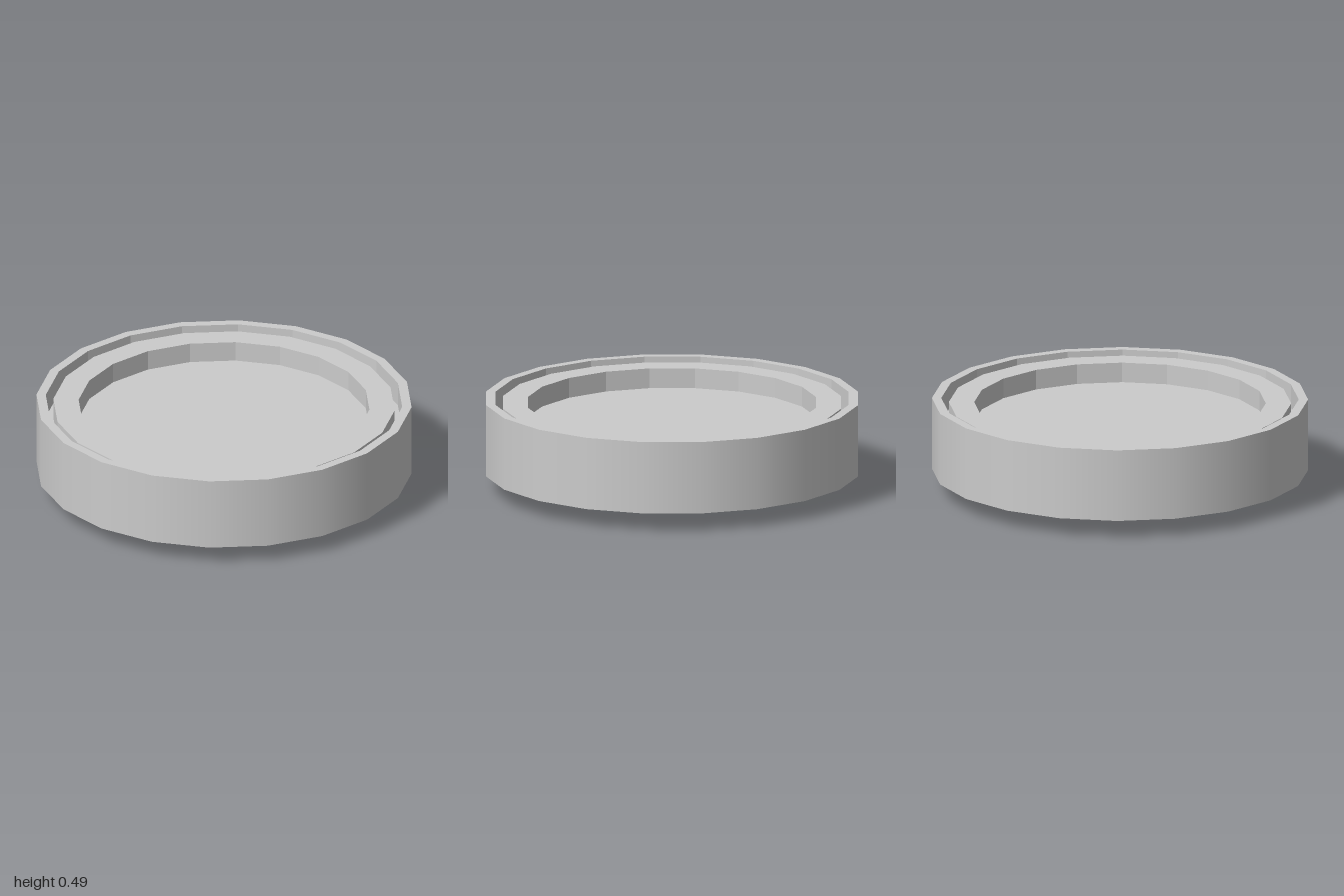
import * as THREE from 'three';

const SIDES = 20;
const smooth = new THREE.MeshStandardMaterial({ color: 0xcccccc });
const faceted = new THREE.MeshStandardMaterial({ color: 0xcccccc, flatShading: true });

// Revolves [radius, y] points; outward-facing when the profile climbs the outside
function turned(name, profile) {
  const points = profile.map(([r, y]) => new THREE.Vector2(r, y));
  const mesh = new THREE.Mesh(new THREE.LatheGeometry(points, SIDES), faceted);
  mesh.name = name;
  return mesh;
}

export function createModel() {
  const bottom = 0.1, top = 0.49, floor = 0.36, ringTop = 0.468;
  const model = new THREE.Group();
  model.name = 'shallowRoundTray';

  // Smooth outer wall of the tray
  const wall = new THREE.Mesh(
    new THREE.CylinderGeometry(1, 1, top - bottom, SIDES, 1, true), smooth);
  wall.position.y = (top + bottom) / 2;
  wall.name = 'outerWall';

  // Underside, then the lip, its inner wall and the recessed floor
  const underside = turned('underside', [[0, bottom], [1, bottom]]);
  const basin = turned('rimAndFloor', [[1, top], [0.95, top], [0.95, floor], [0, floor]]);

  // Loose ring inside the lip, leaving a narrow groove around it
  const ring = turned('innerRing',
    [[0.91, floor], [0.91, ringTop], [0.775, ringTop], [0.775, floor]]);

  // Short central foot
  const foot = new THREE.Mesh(new THREE.CylinderGeometry(0.25, 0.25, bottom, SIDES), faceted);
  foot.position.y = bottom / 2;
  foot.name = 'foot';

  model.add(wall, underside, basin, ring, foot);
  return model;
}
